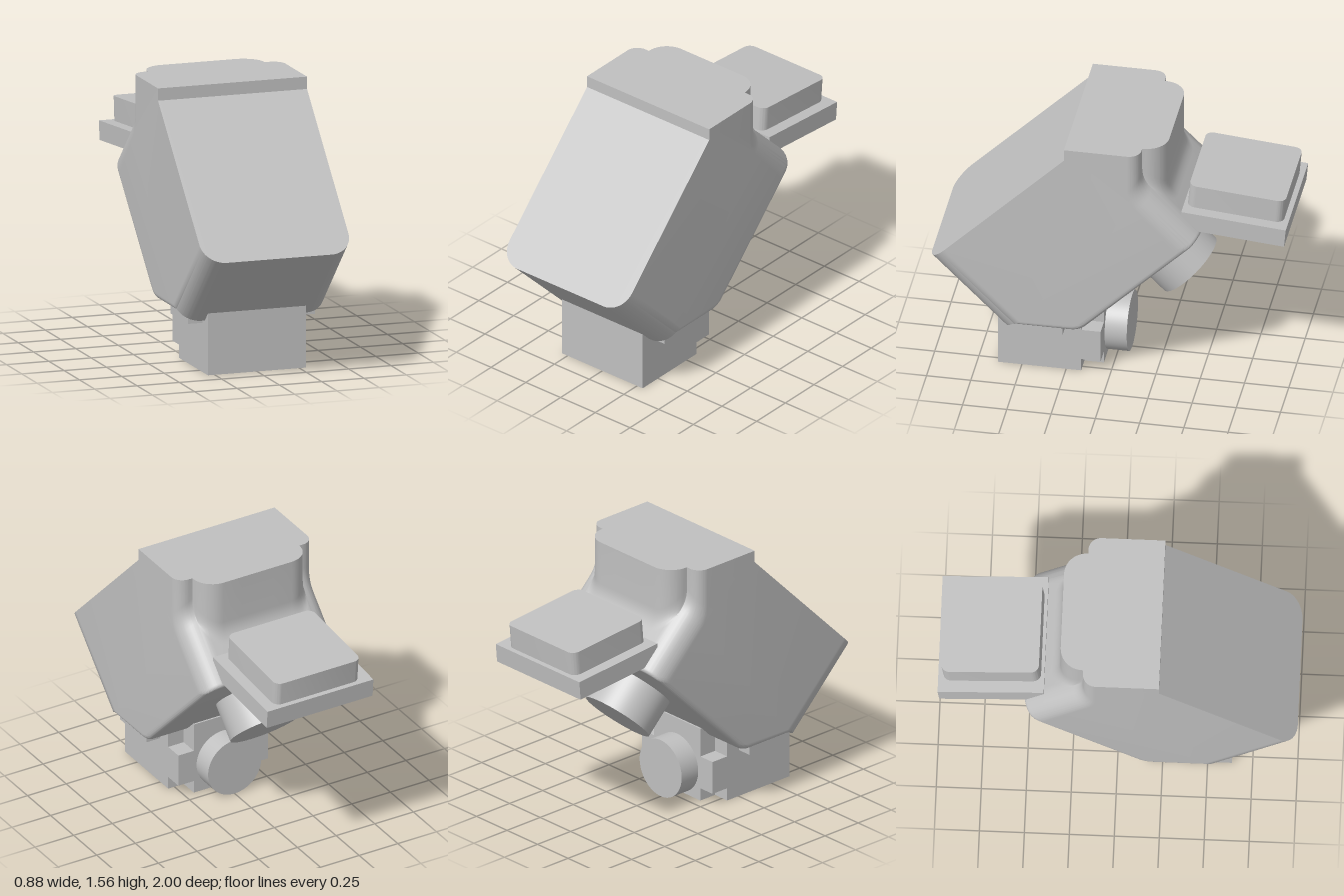
import * as THREE from 'three';
import { toCreasedNormals } from 'three/addons/utils/BufferGeometryUtils.js';

const grey = new THREE.MeshStandardMaterial({ color: 0xc0c0c0 });
grey.name = 'light grey';

function part(name, geometry, x = 0, y = 0, z = 0) {
  const mesh = new THREE.Mesh(geometry, grey);
  mesh.name = name;
  mesh.position.set(x, y, z);
  return mesh;
}

// How far a rounded edge of radius r, ending at x = end, recedes at x.
function recede(x, end, r) {
  const d = Math.min(r, Math.max(0, x - (end - r)));
  return r - Math.sqrt(Math.max(0, r * r - d * d));
}

// Points (z, y); tilted() takes distances across (a) and along (b) the 45 degree body.
const P = (z, y) => new THREE.Vector2(z, y);
const tilted = (a, b) => P((a + b) * Math.SQRT1_2, (a - b) * Math.SQRT1_2);

// Softens corner c between neighbours p and n.
function soften(p, c, n, t) {
  const from = c.clone().add(p.clone().sub(c).setLength(t));
  const to = c.clone().add(n.clone().sub(c).setLength(t));
  return new THREE.QuadraticBezierCurve(from, c, to).getPoints(6);
}

// Outline of the housing at a distance x from its middle plane.
function section(x) {
  const end = recede(x, 0.44, 0.13), edge = recede(x, 0.44, 0.03);
  const bFront = 0.2 - end, bBack = -1.1 + end;
  const aBack = 0.357 + edge, yLow = 0.355 + edge;
  const back = x <= 0.345 ? -0.32 + recede(x, 0.345, 0.125) : -0.19 + recede(x, 0.44, 0.07);
  const low = yLow * Math.SQRT2;
  const bLip = Math.min(0.626 - low, bFront);
  const lip = tilted(Math.min(0.626, low + bLip), bLip);
  const heel = tilted(aBack, aBack - low);
  const rear = tilted(aBack, bBack);
  const neck = P(back, back - bBack * Math.SQRT2);
  const top = P(back, 1.56);
  return [
    P(0.235, 1.56), P(0.235, 1.49),
    tilted(1.217, bFront), tilted(Math.min(0.626, low + bFront), bFront), lip,
    ...soften(lip, heel, rear, 0.05),
    ...soften(heel, rear, neck, 0.025),
    ...soften(rear, neck, top, 0.07),
    top,
  ];
}

// Housing: sections joined from side to side, closed by flat cheeks.
function housingGeometry() {
  const half = new Set([0, 0.1, 0.346]);
  for (const [end, r] of [[0.345, 0.125], [0.44, 0.13], [0.44, 0.07], [0.44, 0.03]]) {
    for (let i = 0; i <= 10; i++) {
      half.add(+(end - r + r * Math.sin((i / 10) * Math.PI / 2)).toFixed(4));
    }
  }
  const right = [...half].sort((a, b) => a - b);
  const xs = [...right.slice(1).reverse().map((x) => -x), ...right];
  const rings = xs.map((x) => section(Math.abs(x)));
  const n = rings[0].length;
  const positions = [], index = [];
  rings.forEach((ring, i) => ring.forEach((p) => positions.push(xs[i], p.y, p.x)));
  for (let i = 0; i < xs.length - 1; i++) {
    for (let j = 0; j < n; j++) {
      const a = i * n + j, b = i * n + (j + 1) % n;
      index.push(a, b, a + n, b, b + n, a + n);
    }
  }
  const last = (xs.length - 1) * n;
  const contour = rings[0].map((p) => new THREE.Vector2(-p.x, p.y));
  for (const [a, b, c] of THREE.ShapeUtils.triangulateShape(contour, [])) {
    index.push(a, c, b, last + a, last + b, last + c);
  }
  const g = new THREE.BufferGeometry();
  g.setAttribute('position', new THREE.Float32BufferAttribute(positions, 3));
  g.setIndex(index);
  return toCreasedNormals(g, 0.5);
}

// Flat pad with rounded corners, standing on y = 0.
function padGeometry(w, d, h, r) {
  const s = new THREE.Shape();
  const x = w / 2, y = d / 2;
  s.moveTo(-x + r, -y);
  s.absarc(x - r, -y + r, r, -Math.PI / 2, 0);
  s.absarc(x - r, y - r, r, 0, Math.PI / 2);
  s.absarc(-x + r, y - r, r, Math.PI / 2, Math.PI);
  s.absarc(-x + r, -y + r, r, Math.PI, Math.PI * 1.5);
  const g = new THREE.ExtrudeGeometry(s, { depth: h, bevelEnabled: false, curveSegments: 8 });
  g.rotateX(-Math.PI / 2);
  return toCreasedNormals(g, 0.5);
}

export function createModel() {
  const model = new THREE.Group();
  model.name = 'tiltedHousingUnit';
  model.add(part('housing', housingGeometry()));

  // Tilted rear tray with its raised pad
  const tray = new THREE.Group();
  tray.name = 'rearTray';
  tray.position.set(0, 1.081, -0.7);
  tray.rotation.x = -0.087;
  tray.add(part('trayPlate', new THREE.BoxGeometry(0.685, 0.11, 0.592)));
  tray.add(part('trayPad', padGeometry(0.55, 0.545, 0.14, 0.045), 0, 0.055, 0.005));
  model.add(tray);

  // Round boss on the underside of the housing
  const mid = tilted(0.258, -0.697);
  const boss = part('undersideBoss', new THREE.CylinderGeometry(0.205, 0.205, 0.24, 64), 0, mid.y, mid.x);
  boss.rotation.x = Math.PI / 4;
  model.add(boss);

  // Foot block, with a cross-shaped rear end
  model.add(part('footBlock', new THREE.BoxGeometry(0.58, 0.36, 0.47), 0, 0.18, 0.4));
  model.add(part('footRearColumn', new THREE.BoxGeometry(0.38, 0.44, 0.12), 0, 0.22, 0.115));
  model.add(part('footRearBar', new THREE.BoxGeometry(0.58, 0.195, 0.12), 0, 0.1725, 0.115));
  for (const side of [-1, 1]) {
    model.add(part('footSideTab', new THREE.BoxGeometry(0.1, 0.08, 0.29), side * 0.325, 0.32, 0.4));
  }

  // Round boss behind the foot
  const knob = part('footBoss', new THREE.CylinderGeometry(0.172, 0.172, 0.14, 64), 0, 0.173, 0);
  knob.rotation.x = Math.PI / 2;
  model.add(knob);
  return model;
}
